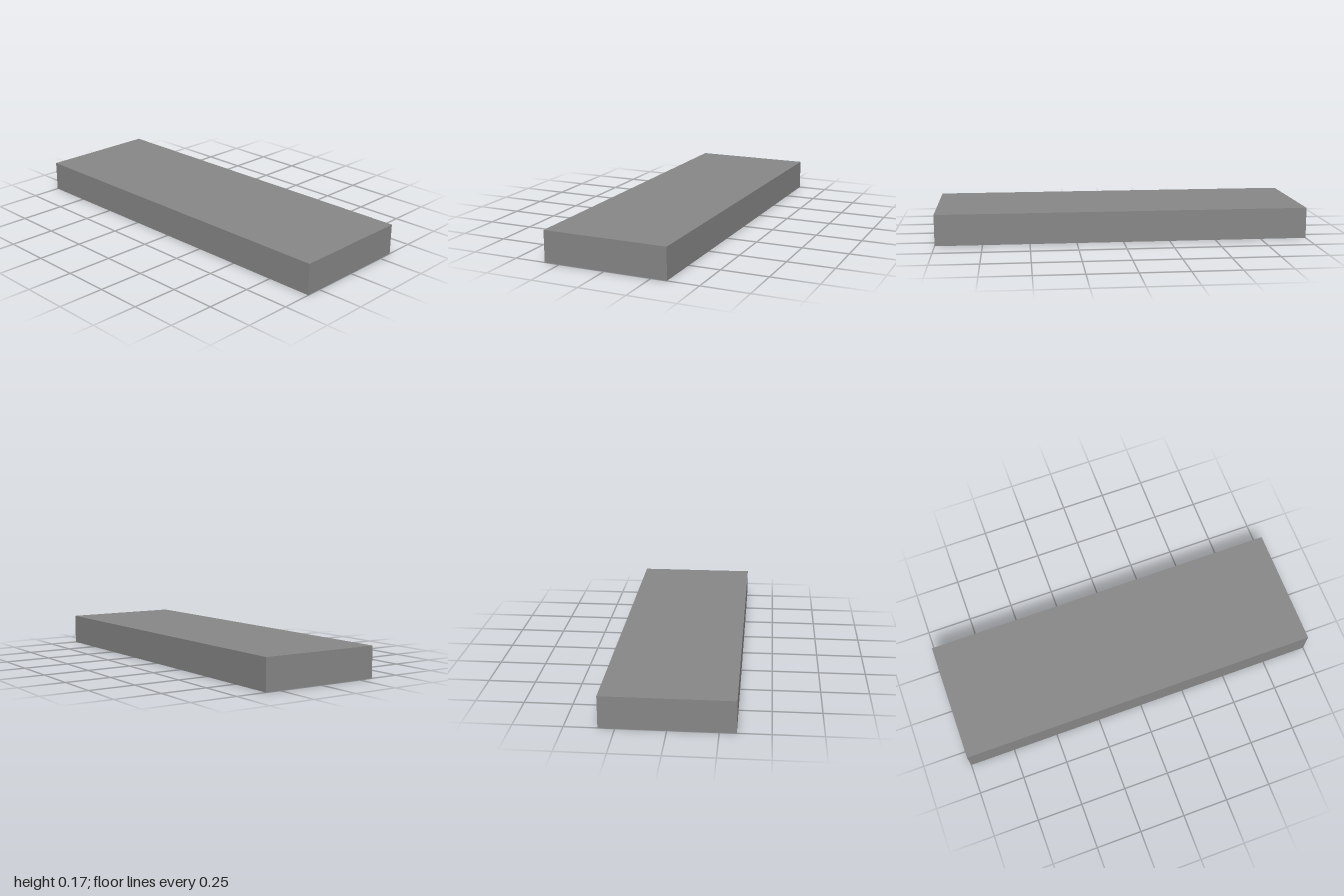
import * as THREE from 'three';

const LENGTH = 2, HEIGHT = 0.167, DEPTH = 0.667;
const RECESS = 0.03; // depth of the underside recess and width of its sloped wall

// Octagon with 45 degree corners, counter-clockwise in (x, z)
function octagon(inset) {
  const x = 0.9 - inset, z = 0.267 - inset;
  const cut = 0.11 - inset * (2 - Math.SQRT2);
  return [
    [x, -z + cut], [x, z - cut], [x - cut, z], [-x + cut, z],
    [-x, z - cut], [-x, -z + cut], [-x + cut, -z], [x - cut, -z],
  ].map(([a, b]) => new THREE.Vector2(a, b));
}

// Flat face that looks downwards
function downFace(shape, y) {
  return new THREE.ShapeGeometry(shape).rotateX(Math.PI / 2).translate(0, y, 0);
}

// Softly curved wall, smooth all the way round the recess
function curvedWall(rows) {
  const positions = [], index = [];
  for (let r = 0; r <= rows; r++) {
    const t = r / rows;
    const y = RECESS * (1 - Math.cos(Math.PI * t)) / 2;
    const loop = octagon(RECESS * t);
    loop.forEach((p, i) => {
      positions.push(p.x, y, p.y);
      if (r === rows) return;
      const n = loop.length, a = r * n + i, b = r * n + (i + 1) % n;
      index.push(a, b, a + n, b, b + n, a + n);
    });
  }
  const wall = new THREE.BufferGeometry();
  wall.setAttribute('position', new THREE.Float32BufferAttribute(positions, 3));
  wall.setIndex(index);
  wall.computeVertexNormals();
  return wall;
}

export function createModel() {
  const group = new THREE.Group();
  group.name = 'slab';
  const material = new THREE.MeshStandardMaterial({ color: 0x878787 });
  const add = (name, geometry) => {
    const mesh = new THREE.Mesh(geometry, material);
    mesh.name = name;
    group.add(mesh);
  };

  // Top and four sides: a box without its bottom face
  const body = new THREE.BoxGeometry(LENGTH, HEIGHT, DEPTH).translate(0, HEIGHT / 2, 0);
  const bottom = body.groups[3];
  body.setIndex([...body.index.array].filter((_, i) => i < bottom.start || i >= bottom.start + bottom.count));
  body.clearGroups();
  add('body', body);

  // Underside rim around the recess
  const hx = LENGTH / 2, hz = DEPTH / 2;
  const rim = new THREE.Shape([[-hx, -hz], [hx, -hz], [hx, hz], [-hx, hz]].map(p => new THREE.Vector2(...p)));
  rim.holes.push(new THREE.Path(octagon(0)));
  add('undersideRim', downFace(rim, 0));

  // Recessed panel and the wall that leads up to it
  add('recessPanel', downFace(new THREE.Shape(octagon(RECESS)), RECESS));
  add('recessWall', curvedWall(6));

  return group;
}
